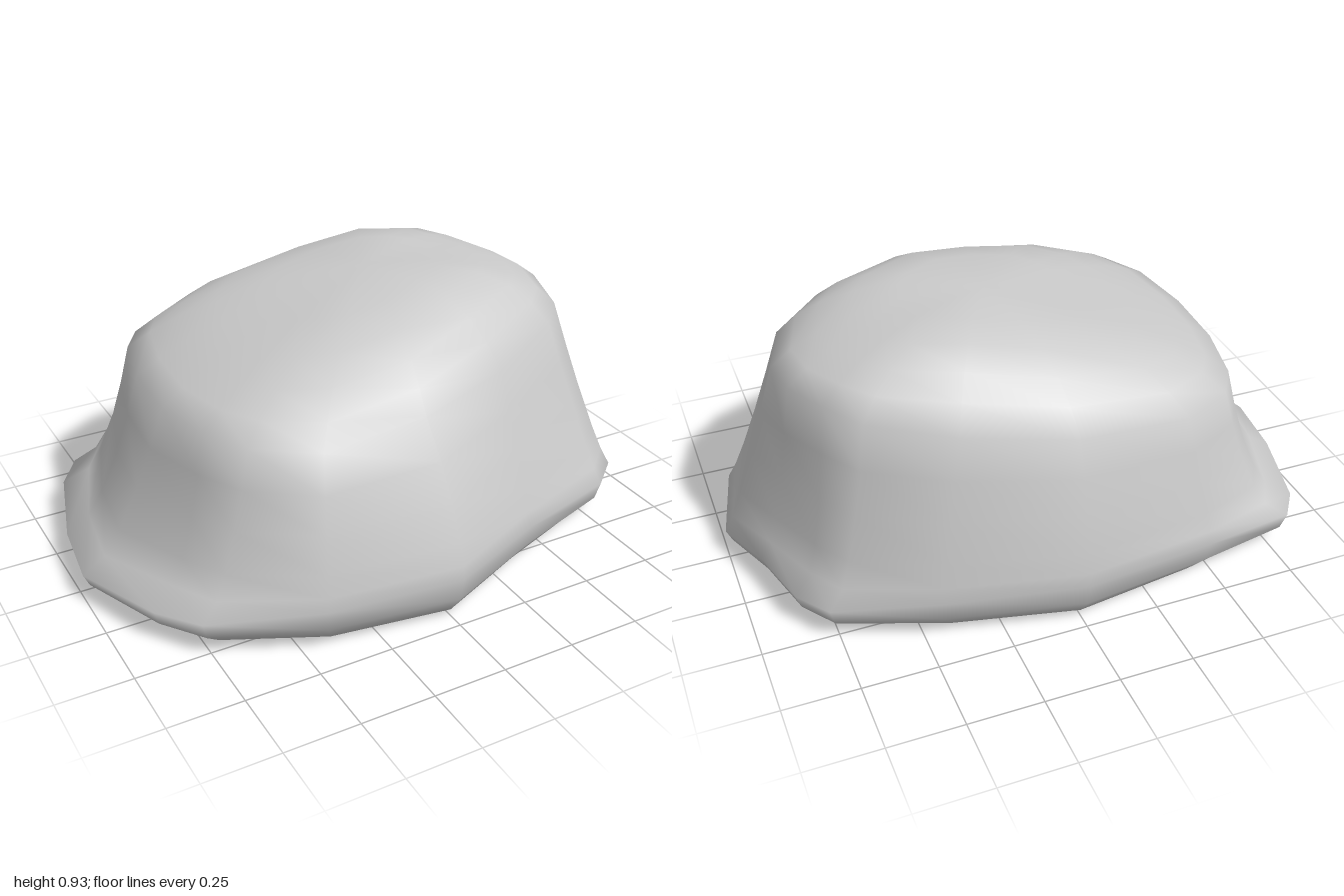
import * as THREE from 'three';
import { mergeVertices } from 'three/addons/utils/BufferGeometryUtils.js';

// Foot outline [x, z], running from the left (+x) round through the front (+z)
const FOOT = [[1, 0.02], [0.93, 0.31], [0.79, 0.44], [0.37, 0.6], [0, 0.76], [-0.44, 0.69],
  [-0.78, 0.52], [-0.88, 0.37], [-1, 0.05], [-0.97, -0.2], [-0.88, -0.51], [-0.8, -0.62],
  [-0.46, -0.7], [0, -0.765], [0.45, -0.66], [0.78, -0.53], [0.86, -0.41], [0.92, -0.18]];
// Shoulder outline [x, y, z, bulge]: the wall below is hollow under 1, swelling over 1
const SHOULDER = [[0.8, 0.75, -0.05, 0.85], [0.73, 0.74, 0.17, 0.85], [0.62, 0.73, 0.29, 0.9],
  [0.31, 0.7, 0.46, 1.1], [-0.03, 0.67, 0.56, 1.6], [-0.38, 0.63, 0.55, 1.3], [-0.57, 0.64, 0.43, 0.55],
  [-0.65, 0.64, 0.28, 0.45], [-0.69, 0.63, 0.05, 0.6], [-0.68, 0.63, -0.2, 0.55],
  [-0.63, 0.63, -0.42, 0.45], [-0.56, 0.63, -0.53, 0.5], [-0.38, 0.64, -0.63, 1], [0, 0.67, -0.65, 1.5],
  [0.36, 0.72, -0.58, 1.1], [0.62, 0.76, -0.47, 0.5], [0.71, 0.77, -0.35, 0.42], [0.78, 0.76, -0.2, 0.6]];
const CENTRE = [0.1, -0.08];
const lerp = THREE.MathUtils.lerp;

const footY = (x) => 0.18 - 0.085 * x * x;
// Ridge line of the top, falling away to the right
const roofY = (x) => 0.93 - 0.33 * (Math.hypot(x - 0.25, 0.245) - 0.245);

// Each ring maker turns an outline index into a point
const underside = (scale, h) => (i) => {
  const [x, z] = FOOT[i];
  return [x * scale, footY(x) * h, z * scale];
};
const wall = (s) => (i) => {
  const [x, z] = FOOT[i], [u, y, v, bulge] = SHOULDER[i];
  const t = Math.pow(s, bulge);
  return [lerp(x, u, t), lerp(footY(x), y, s), lerp(z, v, t)];
};
const crown = (k) => (i) => {
  const [u, y, v] = SHOULDER[i];
  const x = lerp(CENTRE[0], u, k);
  // tighter rounding at the two ends than at front and back
  const f = 1 - Math.pow(k, (v > 0 ? 3.2 : 4) + 9 * u * u);
  return [x, lerp(y, roofY(x), f), lerp(CENTRE[1], v, k)];
};

function loft(rings) {
  const n = FOOT.length, pos = [], index = [];
  rings.forEach((ring) => { for (let i = 0; i < n; i++) pos.push(...ring(i)); });
  for (let r = 0; r < rings.length - 1; r++) {
    for (let i = 0; i < n; i++) {
      const a = r * n + i, b = r * n + (i + 1) % n;
      if (r < rings.length - 2) index.push(a, a + n, b + n);
      else index.push(a, a + n, b);
      if (r > 0 && r < rings.length - 2) index.push(a, b + n, b);
    }
  }
  const g = new THREE.BufferGeometry();
  g.setAttribute('position', new THREE.Float32BufferAttribute(pos, 3));
  g.setIndex(index);
  const merged = mergeVertices(g, 1e-4);
  merged.computeVertexNormals();
  return merged;
}

export function createModel() {
  const group = new THREE.Group();
  group.name = 'rock';
  const rings = [
    // flat underside and rounded lower edge
    underside(0, 0), underside(0.76, 0), underside(0.82, 0.02), underside(0.91, 0.13), underside(0.98, 0.54),
    // flaring walls
    ...[0, 0.1, 0.25, 0.5, 0.75, 1].map(wall),
    // domed, sloping top
    ...[0.9, 0.78, 0.62, 0.4, 0].map(crown),
  ];
  const boulder = new THREE.Mesh(loft(rings), new THREE.MeshStandardMaterial({ color: 0xcccccc }));
  boulder.name = 'boulder';
  group.add(boulder);
  return group;
}
